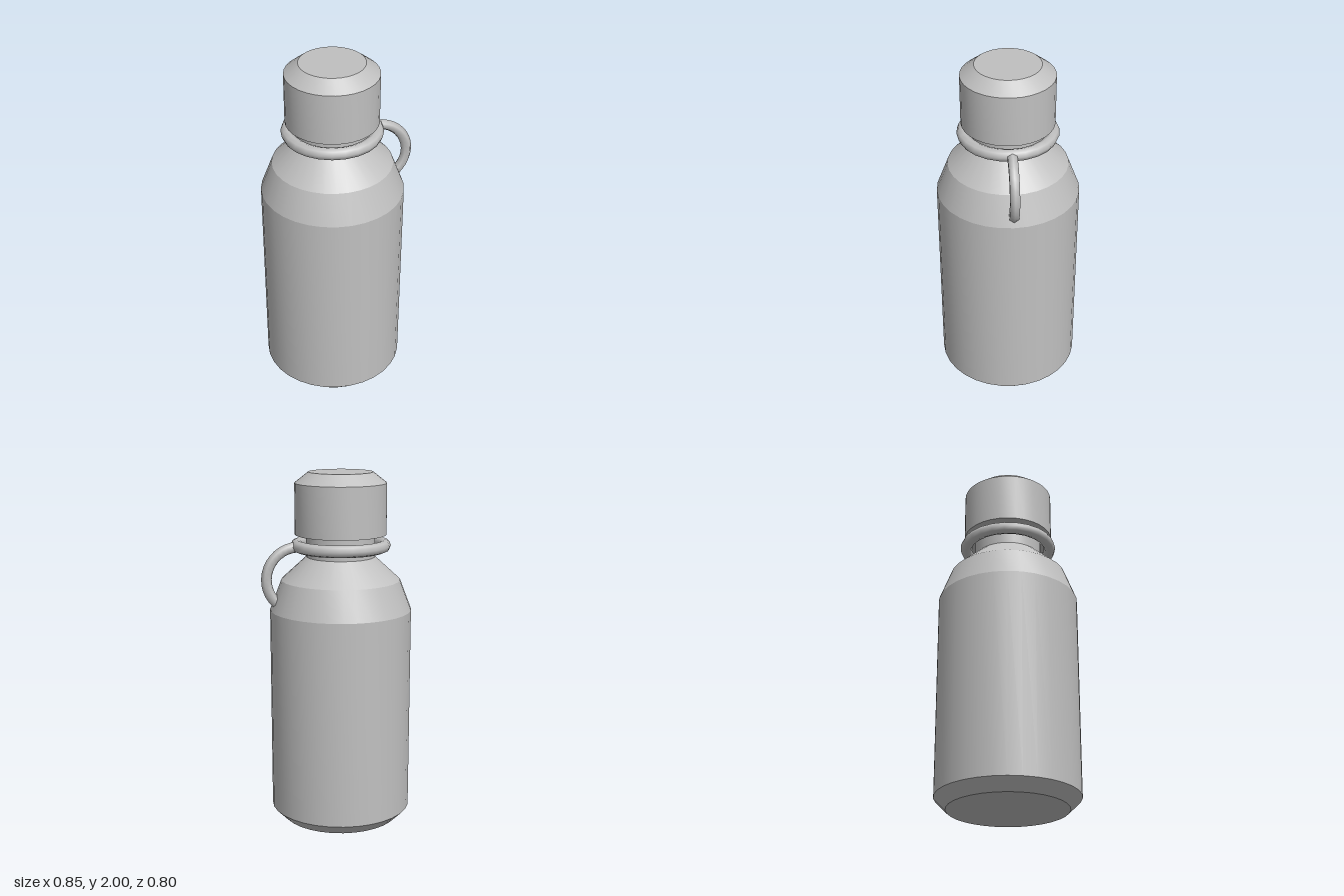
import * as THREE from 'three';
import { toCreasedNormals } from 'three/addons/utils/BufferGeometryUtils.js';

const AXIS_X = -0.03; // the bottle sits off centre to make room for the carry hook

export function createModel() {
  const model = new THREE.Group();
  model.name = 'bottle';
  const grey = new THREE.MeshStandardMaterial({ color: 0xc0c0c0 });
  grey.name = 'plain grey';

  const add = (name, geometry, x, y) => {
    const mesh = new THREE.Mesh(geometry, grey);
    mesh.name = name;
    mesh.position.set(x, y, 0);
    model.add(mesh);
    return mesh;
  };

  // Turned parts: smooth around, sharp between profile bands
  const turned = (name, profile) => {
    const points = profile.map(([r, y]) => new THREE.Vector2(r, y));
    add(name, toCreasedNormals(new THREE.LatheGeometry(points, 32), 0.3), AXIS_X, 0);
  };

  // Body with chamfered base, two-step shoulder and neck
  turned('body', [
    [0, 0], [0.335, 0], [0.4, 0.065], [0.4, 1.23],
    [0.335, 1.4], [0.193, 1.53],
  ]);
  turned('neck', [[0.193, 1.53], [0.193, 1.66]]);

  // Cap with a closed underside and bevelled top
  turned('cap', [[0, 1.655], [0.257, 1.655], [0.257, 1.94], [0.18, 2], [0, 2]]);

  // Loose ring round the neck
  const ring = add('neckRing', new THREE.TorusGeometry(0.247, 0.034, 8, 24), AXIS_X, 1.593);
  ring.rotation.x = Math.PI / 2;

  // Curved carry hook hanging from the ring to the shoulder
  const hookArc = Math.PI * 0.76, hookRadius = 0.18;
  const hook = add('carryHook', new THREE.TorusGeometry(hookRadius, 0.03, 6, 14, hookArc), 0.215, 1.41);
  hook.rotation.z = Math.PI / 2 - hookArc;

  // Flat ends closing the hook
  for (const [angle, turn] of [[0, Math.PI / 2], [hookArc, -Math.PI / 2]]) {
    const end = new THREE.Mesh(new THREE.CircleGeometry(0.03, 6), grey);
    end.name = 'hookEnd';
    end.position.set(Math.cos(angle) * hookRadius, Math.sin(angle) * hookRadius, 0);
    end.rotation.set(turn, angle, 0, 'ZYX');
    end.rotation.set(turn, 0, angle, 'ZYX');
    hook.add(end);
  }

  return model;
}
